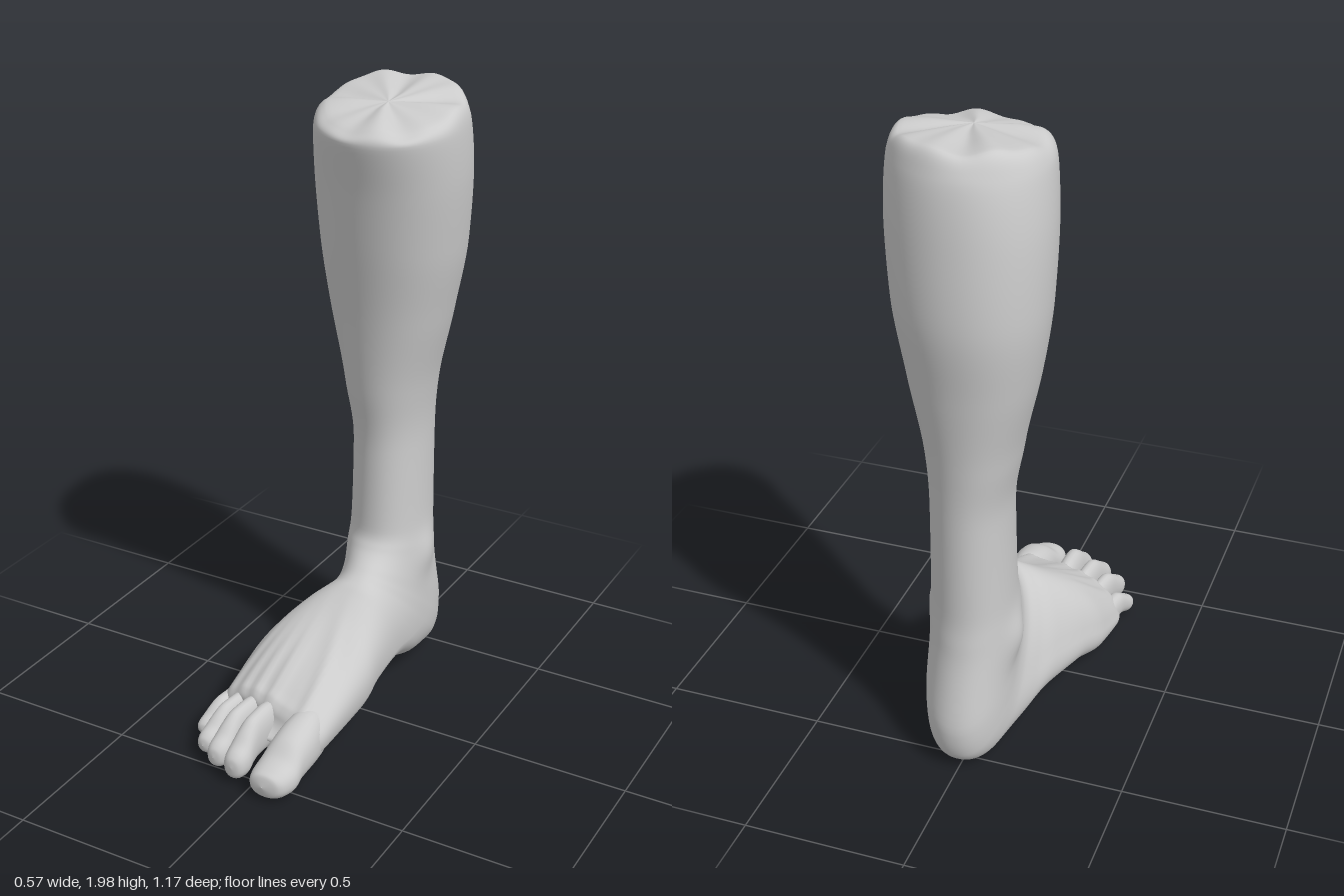
import * as THREE from 'three';

const material = new THREE.MeshStandardMaterial({ color: 0xcccccc, side: THREE.DoubleSide });
const { smoothstep } = THREE.MathUtils;
const bell = (d, r) => Math.exp(-(d * d) / (r * r));
const power = (v, e) => Math.sign(v) * Math.abs(v) ** e;

// Smooth interpolation without overshoot between rows of section values
function sampleRows(rows, u) {
  const i = Math.min(Math.floor(u), rows.length - 2), t = u - i;
  const slope = (j, n) => {
    if (j === 0 || j === rows.length - 1) return 0;
    const a = rows[j][n] - rows[j - 1][n], b = rows[j + 1][n] - rows[j][n];
    return a * b <= 0 ? 0 : (2 * a * b) / (a + b);
  };
  return rows[i].map((p, n) => {
    const q = rows[i + 1][n], t2 = t * t, t3 = t2 * t;
    return p * (2 * t3 - 3 * t2 + 1) + q * (3 * t2 - 2 * t3)
      + slope(i, n) * (t3 - 2 * t2 + t) + slope(i + 1, n) * (t3 - t2);
  });
}

// Loft through sections that span a front/top point F and a back/sole point B:
// [Fz, Fy, Bz, By, centreX, halfWidth]; widest and exponent set the roundness
function loft(name, rows, sides, steps, style, shape) {
  const pos = [], index = [], count = (rows.length - 1) * steps;
  const p = new THREE.Vector3();
  for (let j = 0; j <= count; j++) {
    const row = sampleRows(rows, j / steps);
    const [fz, fy, bz, by, cx, hw] = row;
    const { widest, exponent } = style(row);
    const wz = bz + (fz - bz) * widest, wy = by + (fy - by) * widest;
    for (let i = 0; i < sides; i++) {
      const t = (i / sides) * Math.PI * 2;
      const c = power(Math.cos(t), exponent), s = power(Math.sin(t), exponent), m = Math.abs(c);
      p.set(cx + hw * s, wy + ((c > 0 ? fy : by) - wy) * m, wz + ((c > 0 ? fz : bz) - wz) * m);
      if (shape) shape(p, c, s, t, row);
      pos.push(p.x, Math.max(p.y, 0), p.z);
      if (j < count) {
        const a = j * sides + i, b = j * sides + (i + 1) % sides;
        index.push(a, a + sides, b, b, a + sides, b + sides);
      }
    }
  }
  const geo = new THREE.BufferGeometry();
  geo.setAttribute('position', new THREE.Float32BufferAttribute(pos, 3));
  geo.setIndex(index);
  geo.computeVertexNormals();
  const mesh = new THREE.Mesh(geo, material);
  mesh.name = name;
  return mesh;
}

// Round sections on the leg turn squarer and wider at the sole along the foot
function limbStyle([, fy]) {
  const foot = 1 - smoothstep(fy, 0.42, 0.5);
  return { widest: 0.5 - 0.1 * foot, exponent: 0.97 - 0.15 * foot };
}

function limbShape(p, c, s, t, [fz, fy, , , , hw]) {
  // Shin turned inward, slanted toe line, puckered top
  p.x += 0.2 * Math.max(0, hw - 0.05) * c;
  p.z += 0.05 * smoothstep(fz, 0.1, 0.33) * s;
  const pucker = 0.007 * smoothstep(fy, 1.88, 1.92) * Math.min(1, hw / 0.13);
  p.y += pucker * (Math.sin(5 * t + 1) + 0.6 * Math.sin(9 * t));
  // Ankle bones
  const inner = bell(p.y - 0.46, 0.07) * bell(p.z + 0.32, 0.07);
  const outer = bell(p.y - 0.4, 0.07) * bell(p.z + 0.36, 0.07);
  p.x += s > 0 ? 0.018 * inner * s : 0.022 * outer * s;
  // Tendon ridges on the instep
  if (c > 0 && fy < 0.45) {
    const rise = 0.014 * smoothstep(p.z, -0.05, 0.25) * c;
    const spread = 0.6 + 0.4 * smoothstep(p.z, 0, 0.3);
    for (const x of [0.08, -0.05, -0.115, -0.17, -0.23]) p.y += rise * bell(p.x - x * spread, 0.022);
  }
  // Hollow of the arch
  if (c < 0 && s > 0 && fy < 0.5) p.y += 0.06 * s * -c * bell(p.z + 0.12, 0.15);
}

const toeStyle = () => ({ widest: 0.48, exponent: 0.9 });
const toeSection = (z, top, bottom, x, w) => [z, top, z, bottom, x, w];

export function createModel() {
  const model = new THREE.Group();
  model.name = 'lowerLegAndFoot';

  // Closed top and calf, sections stacked downward
  const leg = [
    [-0.22, 1.96, -0.22, 1.96, 0.05, 0],
    [-0.03, 1.918, -0.49, 1.985, 0.045, 0.2],
    [0.008, 1.885, -0.54, 1.92, 0.04, 0.236],
    [-0.03, 1.73, -0.572, 1.75, 0.03, 0.247],
    [-0.07, 1.53, -0.588, 1.51, 0.02, 0.235],
    [-0.115, 1.3, -0.565, 1.28, 0.013, 0.198],
    [-0.15, 1.06, -0.54, 1.05, 0.012, 0.147],
    [-0.175, 0.85, -0.527, 0.85, 0.019, 0.124],
    [-0.165, 0.57, -0.522, 0.55, 0.02, 0.129],
  ];
  // Sections fan around the heel, then run forward to the toe line
  const foot = [
    [-0.14, 0.52, -0.535, 0.41, 0.02, 0.133],
    [-0.09, 0.478, -0.585, 0.16, 0.025, 0.136],
    [-0.07, 0.463, -0.57, 0.065, 0.025, 0.138],
    [-0.05, 0.45, -0.5, 0.015, 0.022, 0.142],
    [-0.03, 0.437, -0.36, 0.02, 0.012, 0.152],
    [0, 0.412, -0.2, 0.045, -0.006, 0.168],
    [0.06, 0.362, -0.03, 0.045, -0.03, 0.194],
    [0.14, 0.305, 0.1, 0.02, -0.045, 0.212],
    [0.295, 0.212, 0.295, 0.012, -0.057, 0.208],
    [0.335, 0.188, 0.335, 0.022, -0.06, 0.195],
    [0.352, 0.155, 0.352, 0.05, -0.06, 0.165],
    [0.355, 0.1, 0.355, 0.1, -0.06, 0],
  ];
  model.add(loft('legAndFoot', leg.concat(foot), 96, 8, limbStyle, limbShape));

  // Big toe
  model.add(loft('bigToe', [
    toeSection(0.27, 0.19, 0.04, 0.085, 0.045),
    toeSection(0.34, 0.2, 0.025, 0.086, 0.06),
    toeSection(0.41, 0.187, 0.024, 0.085, 0.066),
    toeSection(0.46, 0.168, 0.018, 0.083, 0.065),
    toeSection(0.51, 0.128, 0.013, 0.08, 0.071),
    toeSection(0.55, 0.113, 0.016, 0.076, 0.064),
    toeSection(0.575, 0.1, 0.028, 0.072, 0.046),
    toeSection(0.585, 0.066, 0.064, 0.07, 0.001),
  ], 32, 5, toeStyle));

  // Smaller toes: base x, base z, tip x, tip z, half width, knuckle height
  [
    [-0.05, 0.28, -0.055, 0.557, 0.041, 0.188],
    [-0.113, 0.26, -0.136, 0.53, 0.037, 0.176],
    [-0.168, 0.23, -0.203, 0.485, 0.034, 0.158],
    [-0.222, 0.19, -0.256, 0.405, 0.033, 0.132],
  ].forEach(([bx, bz, tx, tz, w, h], n) => {
    const at = (t, top, bottom, width) =>
      toeSection(bz + (tz - bz) * t, top * h, bottom, bx + (tx - bx) * t, width * w);
    model.add(loft('smallToe' + (n + 1), [
      at(0, 0.9, 0.06, 0.6),
      at(0.3, 1.02, 0.045, 0.85),
      at(0.55, 1, 0.045, 0.85),
      at(0.7, 0.88, 0.037, 0.9),
      at(0.83, 0.71, 0.026, 1),
      at(0.93, 0.62, 0.029, 0.87),
      at(0.985, 0.52, 0.042, 0.5),
      at(1, 0.4, 0.4 * h - 0.002, 0.02),
    ], 24, 4, toeStyle));
  });

  return model;
}
